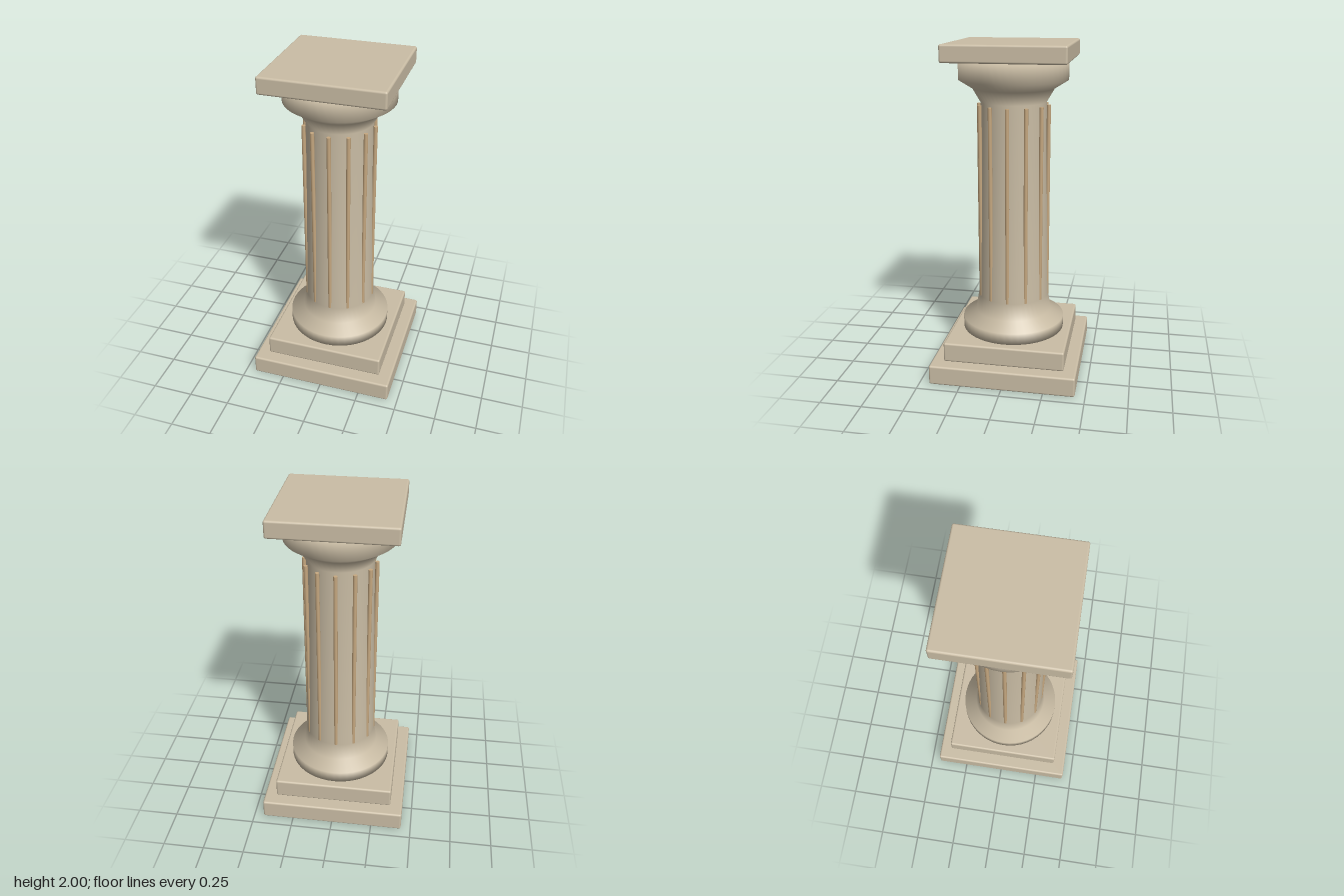
import * as THREE from 'three';
import { RoundedBoxGeometry } from 'three/addons/geometries/RoundedBoxGeometry.js';

export function createModel() {
  const model = new THREE.Group();
  model.name = 'column';
  const stone = new THREE.MeshStandardMaterial({ color: 0xcabda5 });
  stone.name = 'stone';
  const warmStone = new THREE.MeshStandardMaterial({ color: 0xc6a880 });
  warmStone.name = 'warm stone';

  const add = (name, geometry, material, x, y, z, parent = model) => {
    const mesh = new THREE.Mesh(geometry, material);
    mesh.name = name;
    mesh.position.set(x, y, z);
    parent.add(mesh);
    return mesh;
  };

  // Square slabs: name, width, bottom, top
  for (const [name, width, bottom, top] of [
    ['lowerPlinth', 0.88, 0, 0.12],
    ['upperPlinth', 0.73, 0.12, 0.24],
    ['abacus', 0.7, 1.9, 2],
  ]) {
    add(name, new RoundedBoxGeometry(width, top - bottom, width, 3, 0.012), stone, 0, (bottom + top) / 2, 0);
  }

  // Turned base, tapering shaft and flared capital
  const profile = [
    [0, 0.24], [0.315, 0.24], [0.315, 0.31], [0.235, 0.355], [0.217, 0.46],
    [0.195, 1.655], [0.242, 1.735], [0.322, 1.785], [0.322, 1.9], [0, 1.9],
  ].map(([r, y]) => new THREE.Vector2(r, y));
  add('shaft', new THREE.LatheGeometry(profile, 48), stone, 0, 0, 0);

  // Upright ribs around the shaft
  const ribs = new THREE.Group();
  ribs.name = 'ribs';
  model.add(ribs);
  const ribGeometry = new THREE.CylinderGeometry(0.012, 0.012, 1.18, 10);
  for (let i = 0; i < 12; i++) {
    const a = (i * Math.PI) / 6;
    add('rib', ribGeometry, warmStone, Math.sin(a) * 0.209, 1.05, Math.cos(a) * 0.209, ribs).rotation.y = a;
  }
  return model;
}
